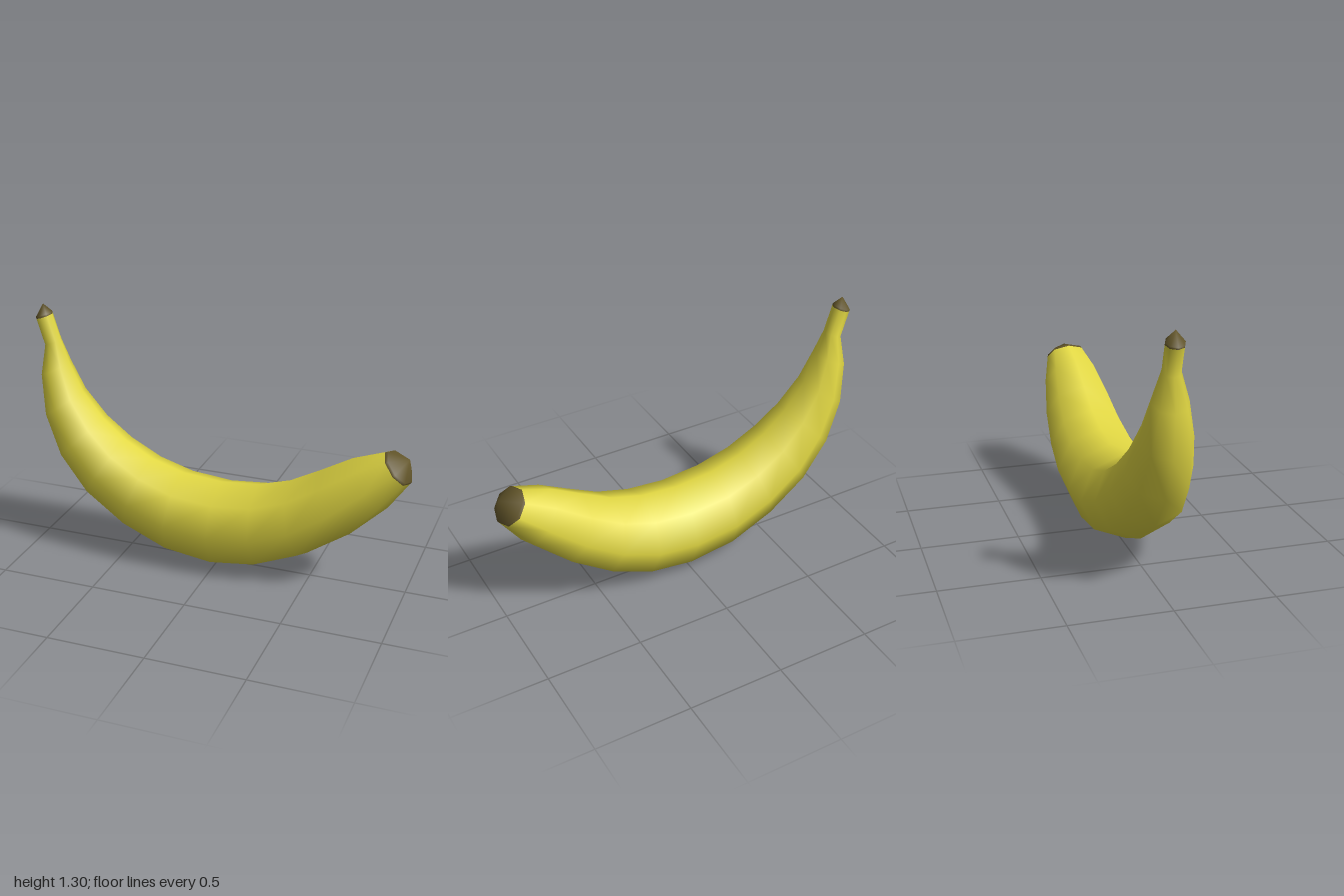
import * as THREE from 'three';

const SIDES = 8;

// Ring stations from stem to blossom end:
// [inner x, inner y, outer x, outer y, half width in z]
const STATIONS = [
  [-0.915, 1.265, -1.0, 1.235, 0.047],
  [-0.87, 1.12, -0.955, 1.09, 0.047],
  [-0.825, 1.0, -0.98, 0.93, 0.09],
  [-0.755, 0.85, -0.96, 0.71, 0.132],
  [-0.645, 0.715, -0.875, 0.49, 0.167],
  [-0.52, 0.61, -0.72, 0.3, 0.197],
  [-0.37, 0.527, -0.5, 0.145, 0.214],
  [-0.2, 0.475, -0.25, 0.04, 0.228],
  [0.01, 0.457, 0.01, 0.003, 0.23],
  [0.21, 0.475, 0.25, 0.035, 0.228],
  [0.38, 0.525, 0.48, 0.13, 0.215],
  [0.54, 0.61, 0.7, 0.28, 0.193],
  [0.7, 0.7, 0.885, 0.46, 0.155],
  [0.87, 0.76, 0.997, 0.62, 0.106],
];
const STEM_APEX = [-0.96, 1.305, 0];
const END_APEX = [0.98, 0.735, 0];

const mix = (a, b, t) => a.map((v, i) => v + (b[i] - v) * t);

export function createModel() {
  const peel = new THREE.MeshStandardMaterial({ color: 0xe2d843 });
  peel.name = 'yellowPeel';
  const tip = new THREE.MeshStandardMaterial({ color: 0x62552a });
  tip.name = 'brownTip';

  // Extra rings where the brown tips meet the peel
  const rings = STATIONS.slice();
  rings.splice(1, 0, mix(rings[0], rings[1], 0.07));
  const n = rings.length;
  rings.splice(n - 1, 0, mix(rings[n - 1], rings[n - 2], 0.08));
  const last = rings.length - 1;

  // Eight-sided cross-sections, then the two pointed ends
  const points = [];
  for (const [ix, iy, ox, oy, w] of rings) {
    for (let j = 0; j < SIDES; j++) {
      const a = (j / SIDES) * Math.PI * 2;
      const c = Math.cos(a);
      points.push(
        (ix + ox) / 2 + (c * (ix - ox)) / 2,
        (iy + oy) / 2 + (c * (iy - oy)) / 2,
        w * Math.sin(a)
      );
    }
  }
  const stemApex = points.length / 3;
  const endApex = stemApex + 1;
  points.push(...STEM_APEX, ...END_APEX);

  const at = (i, j) => i * SIDES + (j % SIDES);
  const band = (from, to) => {
    const faces = [];
    for (let i = from; i < to; i++) {
      for (let j = 0; j < SIDES; j++) {
        const a = at(i, j), b = at(i, j + 1), c = at(i + 1, j), d = at(i + 1, j + 1);
        faces.push(a, b, c, b, d, c);
      }
    }
    return faces;
  };
  const bodyFaces = band(1, last - 1);
  const stemFaces = band(0, 1);
  const endFaces = band(last - 1, last);
  for (let j = 0; j < SIDES; j++) {
    stemFaces.push(stemApex, at(0, j + 1), at(0, j));
    endFaces.push(endApex, at(last, j), at(last, j + 1));
  }

  // Smooth normals are found over the whole skin and shared by all parts
  const skin = new THREE.BufferGeometry();
  skin.setAttribute('position', new THREE.Float32BufferAttribute(points, 3));
  skin.setIndex([...bodyFaces, ...stemFaces, ...endFaces]);
  skin.computeVertexNormals();

  const group = new THREE.Group();
  group.name = 'banana';
  const addPart = (name, faces, material) => {
    const geometry = skin.clone();
    geometry.setIndex(faces);
    const mesh = new THREE.Mesh(geometry, material);
    mesh.name = name;
    group.add(mesh);
  };
  addPart('body', bodyFaces, peel);
  addPart('stemTip', stemFaces, tip);
  addPart('blossomTip', endFaces, tip);
  return group;
}
